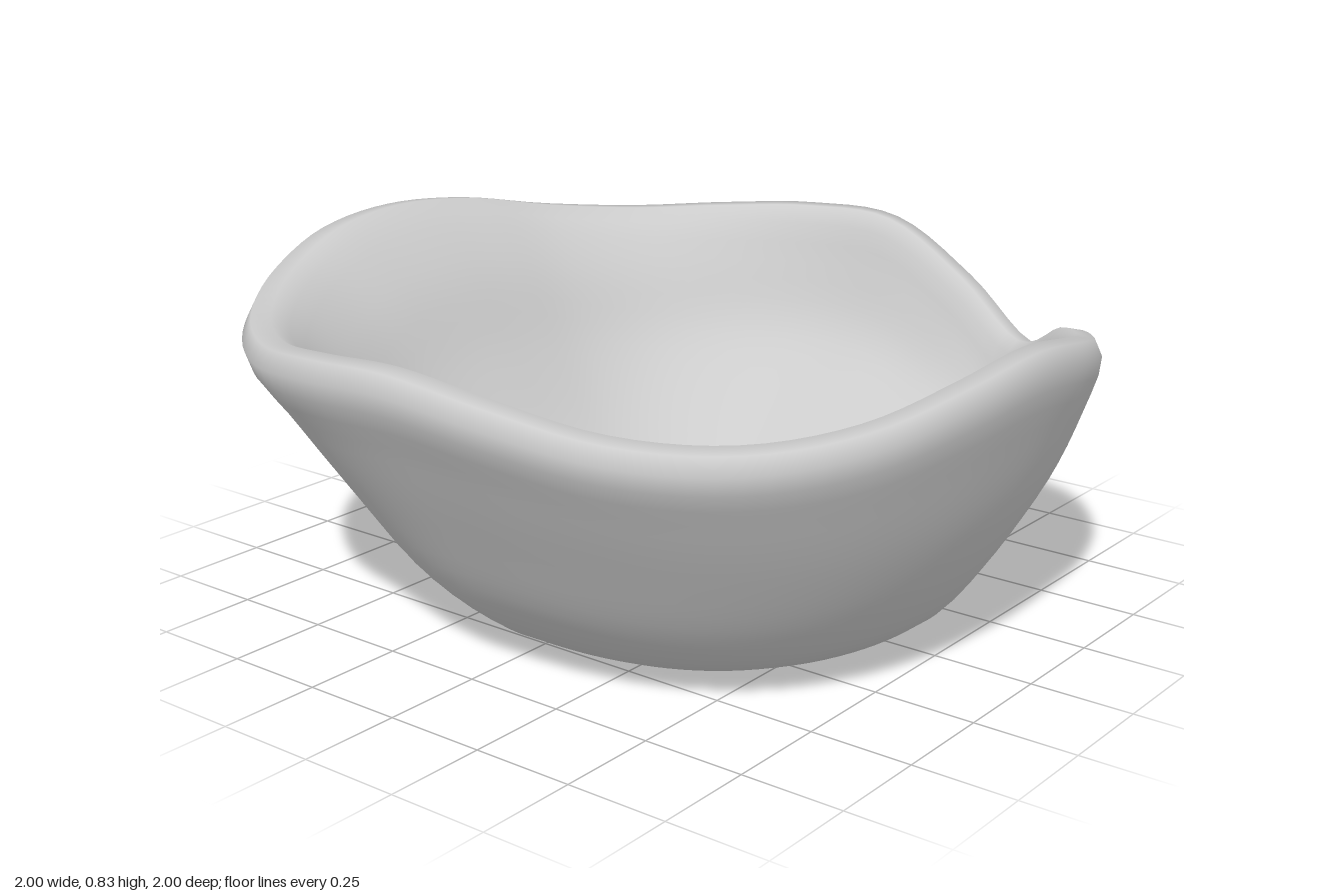
import * as THREE from 'three';

const ANGLES = 120, STEPS = 56;

// Rim height every 15 degrees, from +x towards +z
const RIM = [0.78, 0.755, 0.71, 0.69, 0.705, 0.75, 0.78, 0.76, 0.73, 0.735, 0.775, 0.825,
  0.84, 0.82, 0.775, 0.755, 0.765, 0.78, 0.77, 0.65, 0.53, 0.63, 0.68, 0.74];
// Bulge of the outline at the four diagonals: +x+z, -x+z, -x-z, +x-z
const CORNER = [0.05, 0.03, 0.01, 0.01];

// Outer wall heights, and the radius at each height for right, front, left and back
const LEVELS = [0.006, 0.02, 0.07, 0.18, 0.37, 0.56, 0.7];
const WALLS = [
  [0.45, 0.58, 0.71, 0.80, 0.90, 0.965, 1.0],
  [0.42, 0.52, 0.60, 0.71, 0.825, 0.93, 1.0],
  [0.12, 0.23, 0.36, 0.54, 0.73, 0.88, 1.0],
  [0.12, 0.25, 0.42, 0.62, 0.88, 0.965, 1.0],
];
// Wall thickness on the same four sides
const THICK = [0.07, 0.09, 0.13, 0.08];

// Smooth periodic lookup in an evenly spaced list
function around(list, turn) {
  const n = list.length, f = turn * n, i = Math.floor(f), t = f - i;
  const [a, b, c, d] = [-1, 0, 1, 2].map(k => list[(i + k + n) % n]);
  return b + 0.5 * t * (c - a + t * (2 * a - 5 * b + 4 * c - d + t * (3 * (b - c) + d - a)));
}

// Cross-section at one angle: up the outside, over the lip, down the inside
function section(turn) {
  const a = turn * Math.PI * 2, c = Math.cos(a), s = Math.sin(a);
  const side = Math.floor(turn * 4) % 4;
  const bulge = 1 + CORNER[side] * Math.sin(2 * a) ** 2;
  const w = [c > 0 ? c * c : 0, s > 0 ? s * s : 0, c < 0 ? c * c : 0, s < 0 ? s * s : 0];
  const blend = values => values.reduce((sum, v, i) => sum + v * w[i], 0);
  const height = around(RIM, turn), thick = blend(THICK);
  const radius = LEVELS.map((_, k) => bulge * blend(WALLS.map(wall => wall[k])));
  const level = y => y * THREE.MathUtils.lerp(1, height / 0.77, Math.min(1, y / 0.6));
  const at = (r, y) => new THREE.Vector3(r * c, y, r * s);

  const points = [new THREE.Vector3(0.15, 0.002, 0.08)];
  LEVELS.forEach((y, k) => points.push(at(radius[k], level(y))));
  // rounded lip
  const top = radius[6];
  points.push(at(top - 0.012, height - 0.02), at(top - 0.04, height));
  points.push(at(top - 0.04 - thick * 0.45, height - 0.015));
  // inner wall and floor
  for (let k = 5; k >= 1; k--) {
    points.push(at(Math.max(0.1, radius[k] - thick * 1.05), level(LEVELS[k] + 0.07)));
  }
  points.push(new THREE.Vector3(0.15, 0.075, 0.08));
  return new THREE.CatmullRomCurve3(points, false, 'centripetal').getSpacedPoints(STEPS);
}

export function createModel() {
  const positions = [], index = [], row = STEPS + 1;
  for (let i = 0; i < ANGLES; i++) {
    for (const p of section(i / ANGLES)) positions.push(p.x, Math.max(0, p.y), p.z);
    const next = ((i + 1) % ANGLES) * row;
    for (let j = 0; j < STEPS; j++) {
      const v = i * row + j, n = next + j;
      index.push(v, v + 1, n, n, v + 1, n + 1);
    }
  }
  const geometry = new THREE.BufferGeometry();
  geometry.setAttribute('position', new THREE.Float32BufferAttribute(positions, 3));
  geometry.setIndex(index);
  geometry.computeVertexNormals();

  const bowl = new THREE.Mesh(geometry, new THREE.MeshStandardMaterial({ color: 0xcccccc }));
  bowl.name = 'bowl';
  const group = new THREE.Group();
  group.name = 'wavyRimBowl';
  group.add(bowl);
  return group;
}
